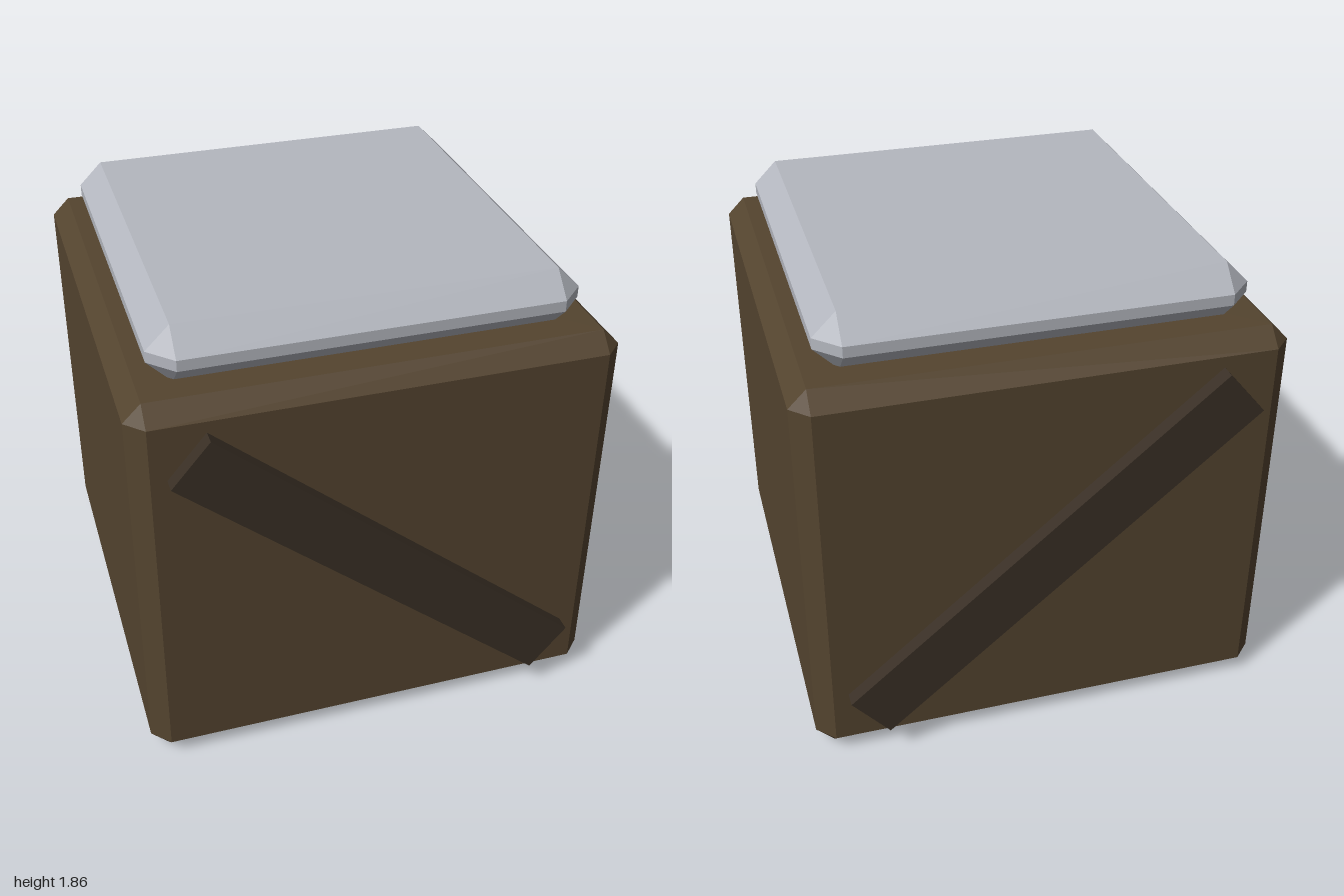
import * as THREE from 'three';
import { ConvexGeometry } from 'three/addons/geometries/ConvexGeometry.js';

// Box with flat chamfers on every edge and triangular corners
function chamferBox(w, h, d, c) {
  const half = [w / 2, h / 2, d / 2];
  const points = [];
  for (const sx of [-1, 1]) for (const sy of [-1, 1]) for (const sz of [-1, 1]) {
    const s = [sx, sy, sz];
    for (let axis = 0; axis < 3; axis++) {
      const p = half.map((v, i) => s[i] * (i === axis ? v : v - c));
      points.push(new THREE.Vector3(...p));
    }
  }
  return new ConvexGeometry(points);
}

function material(name, color) {
  const m = new THREE.MeshStandardMaterial({ color });
  m.name = name;
  return m;
}

export function createModel() {
  const model = new THREE.Group();
  model.name = 'crate';
  const wood = material('brown wood', 0x54442f);
  const darkWood = material('dark wood', 0x392f25);
  const metal = material('pale grey metal', 0xb4b7bf);

  const add = (name, geometry, mat, x, y, z) => {
    const mesh = new THREE.Mesh(geometry, mat);
    mesh.name = name;
    mesh.position.set(x, y, z);
    model.add(mesh);
    return mesh;
  };

  // Main block
  add('body', chamferBox(1.88, 1.65, 1.88, 0.07), wood, 0, 0.825, 0);

  // Lid, its lowest edge sunk into the block
  add('lid', chamferBox(1.646, 0.23, 1.646, 0.093), metal, 0, 1.745, 0);

  // Diagonal braces on front and back, sharing one slope
  const brace = new THREE.BoxGeometry(1.926, 0.23, 0.1);
  for (const [name, side] of [['frontBrace', 1], ['backBrace', -1]]) {
    add(name, brace, darkWood, 0, 0.825, side * 0.95).rotation.z = -0.703;
  }

  return model;
}
